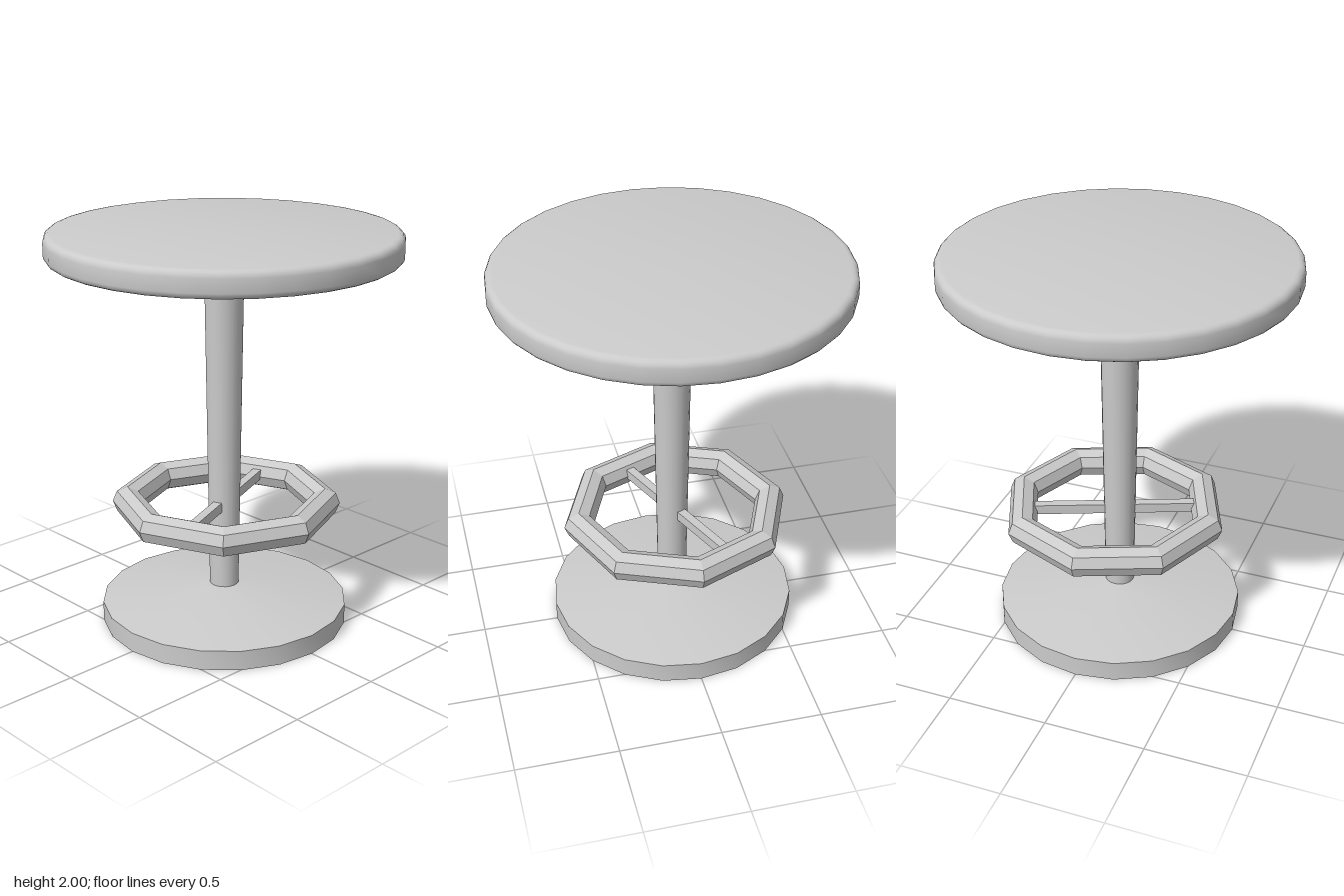
import * as THREE from 'three';
import { toCreasedNormals } from 'three/addons/utils/BufferGeometryUtils.js';

const grey = new THREE.MeshStandardMaterial({ color: 0xcccccc });
const flatGrey = new THREE.MeshStandardMaterial({ color: 0xcccccc, flatShading: true });

// Turned part from a bottom-to-top profile of [radius, height] pairs
function turned(name, profile, sides) {
  const points = profile.map(([r, y]) => new THREE.Vector2(r, y));
  const geometry = toCreasedNormals(new THREE.LatheGeometry(points, sides), 0.6);
  const mesh = new THREE.Mesh(geometry, grey);
  mesh.name = name;
  return mesh;
}

// Points of a rounded rim, from angle a to angle b
function rim(cx, cy, rx, ry, a, b, steps = 4) {
  return Array.from({ length: steps + 1 }, (_, i) => {
    const t = a + ((b - a) * i) / steps;
    return [cx + rx * Math.cos(t), cy + ry * Math.sin(t)];
  });
}

export function createModel() {
  const stool = new THREE.Group();
  stool.name = 'barStool';

  // Seat: flat disc with softly rounded rims
  const q = Math.PI / 2;
  stool.add(turned('seat', [
    [0, 1.87],
    ...rim(0.82, 1.9, 0.035, 0.03, -q, 0),
    ...rim(0.82, 1.965, 0.035, 0.035, 0, q),
    [0, 2],
  ], 32));

  // Column: widens towards the top and stops just under the seat
  stool.add(turned('column', [[0, 0.15], [0.073, 0.15], [0.097, 1.84], [0, 1.84]], 20));

  // Base: low drum with a shallow cone on top
  stool.add(turned('base', [[0, 0], [0.62, 0], [0.62, 0.1], [0.07, 0.18], [0, 0.18]], 20));

  // Footrest: faceted octagonal ring, slightly off centre
  const footrest = new THREE.Group();
  footrest.name = 'footrest';
  footrest.position.set(0.025, 0.605, -0.0125);
  const ring = new THREE.Mesh(new THREE.TorusGeometry(0.497, 0.076, 8, 8), flatGrey);
  ring.name = 'footrestRing';
  ring.rotation.x = q;
  footrest.add(ring);
  stool.add(footrest);

  // Crossbar: runs through the column to the middle of two ring sides
  const bar = new THREE.Mesh(new THREE.BoxGeometry(0.92, 0.05, 0.045), flatGrey);
  bar.name = 'footrestBar';
  bar.position.y = 0.01;
  bar.rotation.y = Math.PI / 8;
  footrest.add(bar);

  return stool;
}
